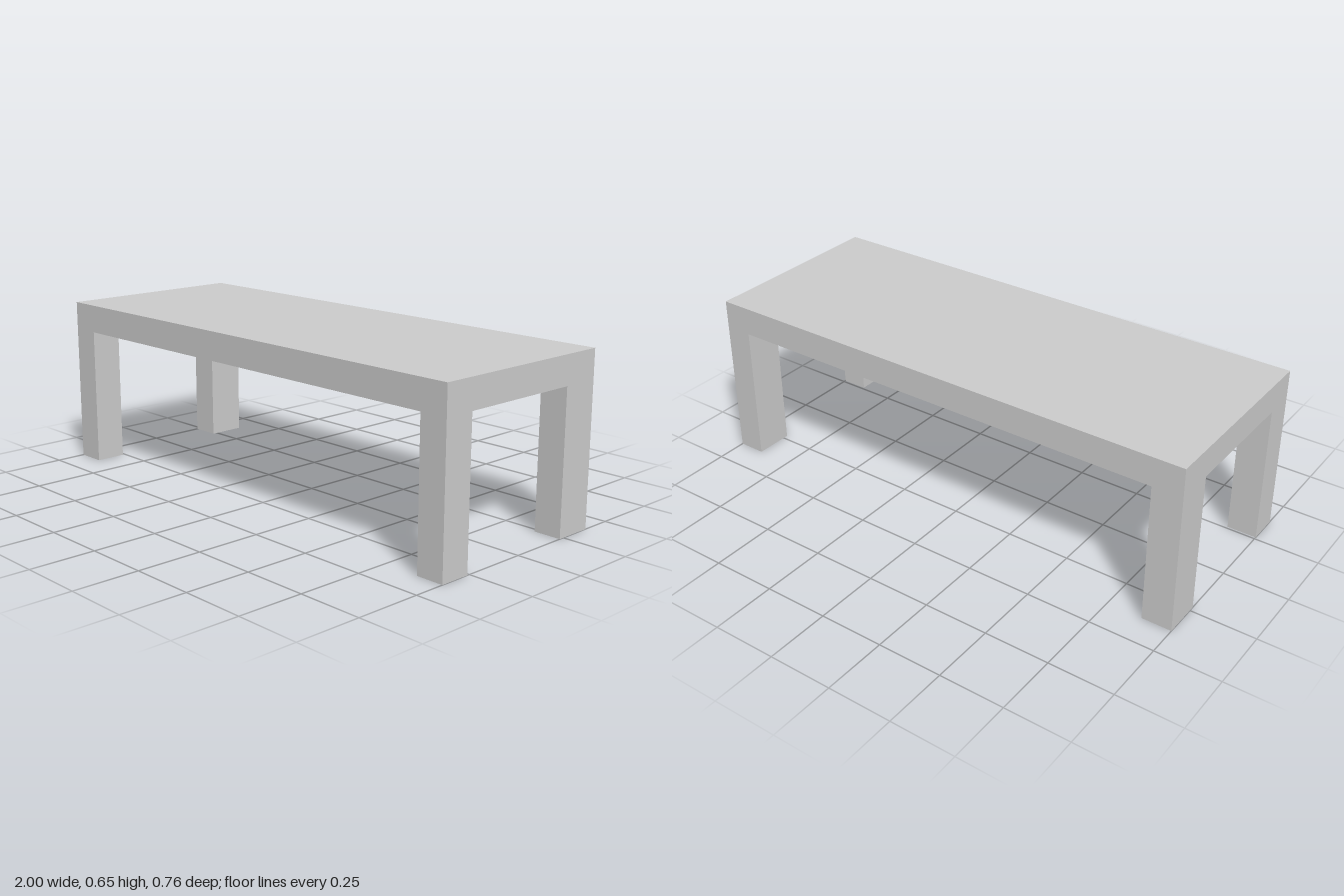
import * as THREE from 'three';

const W = 1, D = 0.38, H = 0.65, LEG = 0.54; // half width, half depth, height, leg height
const X_RIGHT = 0.115, X_LEFT = 0.107;        // leg widths along x
const Z_FRONT = 0.12, Z_BACK = 0.15;          // leg widths along z

const material = new THREE.MeshStandardMaterial({ color: 0xcccccc, side: THREE.DoubleSide, flatShading: true });

function addMesh(parent, name, geometry, x, y, z, turn = 0) {
  const mesh = new THREE.Mesh(geometry, material);
  mesh.name = name;
  mesh.position.set(x, y, z);
  mesh.rotation.y = turn;
  parent.add(mesh);
  return mesh;
}

// Flat arch: an apron with the outer faces of two legs, as seen from outside
function archPanel(half, a, b) {
  const points = [
    [-half, 0], [-half + a, 0], [-half + a, LEG], [half - b, LEG],
    [half - b, 0], [half, 0], [half, H], [-half, H],
  ].map(([x, y]) => new THREE.Vector2(x, y));
  return new THREE.ShapeGeometry(new THREE.Shape(points));
}

export function createModel() {
  const table = new THREE.Group();
  table.name = 'table';

  // Thin top sheet, open underneath
  addMesh(table, 'tabletop', new THREE.PlaneGeometry(2 * W, 2 * D).rotateX(-Math.PI / 2), 0, H, 0);

  // Four outer panels
  addMesh(table, 'frontPanel', archPanel(W, X_RIGHT, X_LEFT), 0, 0, D);
  addMesh(table, 'backPanel', archPanel(W, X_LEFT, X_RIGHT), 0, 0, -D, Math.PI);
  addMesh(table, 'leftPanel', archPanel(D, Z_FRONT, Z_BACK), W, 0, 0, Math.PI / 2);
  addMesh(table, 'rightPanel', archPanel(D, Z_BACK, Z_FRONT), -W, 0, 0, -Math.PI / 2);

  // Inner walls that close each hollow leg; the ends stay open
  for (const sx of [-1, 1]) {
    for (const sz of [-1, 1]) {
      const w = sx > 0 ? X_LEFT : X_RIGHT;
      const d = sz > 0 ? Z_FRONT : Z_BACK;
      const leg = new THREE.Group();
      leg.name = (sz > 0 ? 'front' : 'back') + (sx > 0 ? 'Left' : 'Right') + 'Leg';
      addMesh(leg, 'innerSideWall', new THREE.PlaneGeometry(d, LEG),
        sx * (W - w), LEG / 2, sz * (D - d / 2), -sx * Math.PI / 2);
      addMesh(leg, 'innerLongWall', new THREE.PlaneGeometry(w, LEG),
        sx * (W - w / 2), LEG / 2, sz * (D - d), sz > 0 ? Math.PI : 0);
      table.add(leg);
    }
  }
  return table;
}
